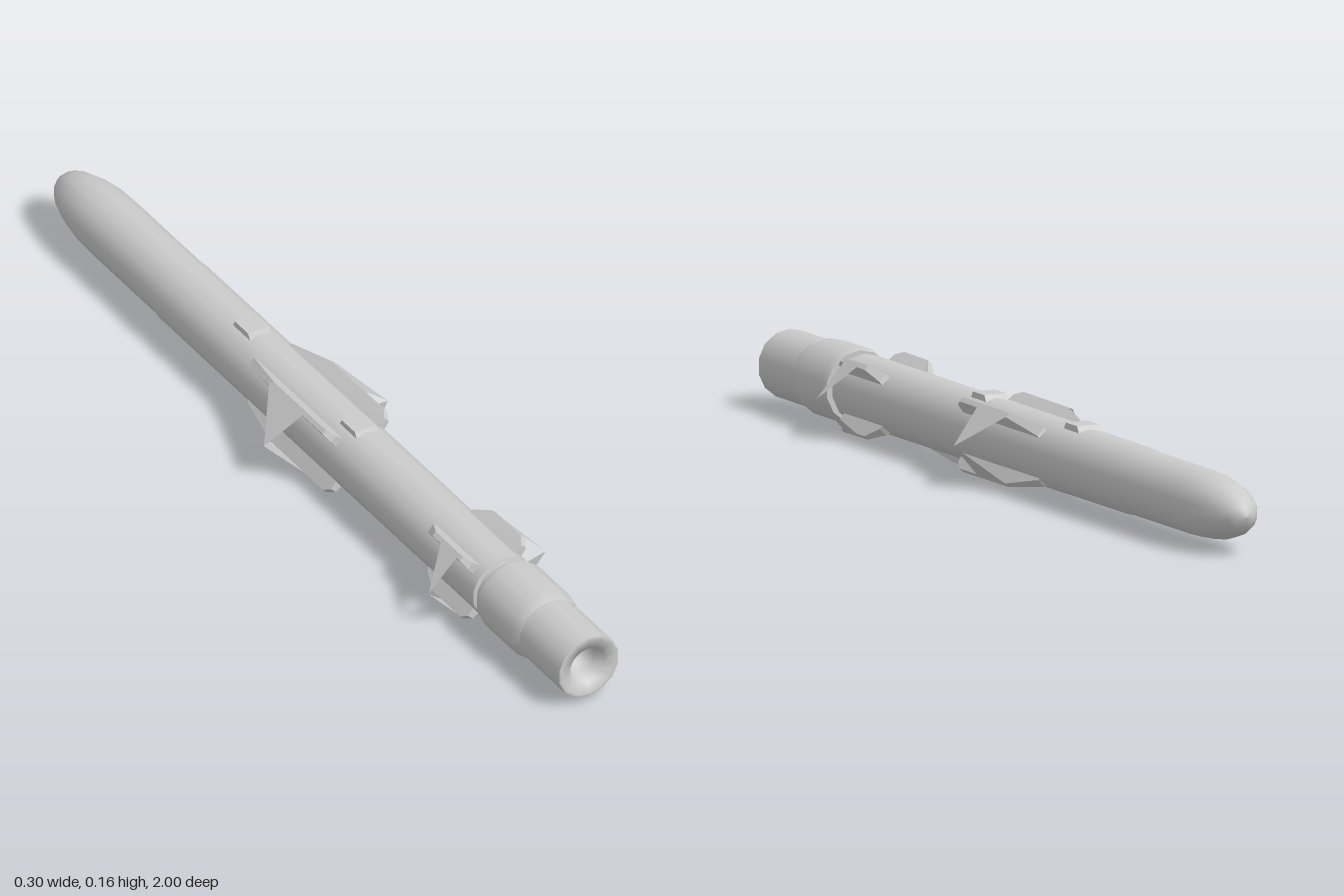
import * as THREE from 'three';

const CY = 0.084; // height of the long axis
const SIDES = 14;

export function createModel() {
  const model = new THREE.Group();
  const grey = new THREE.MeshStandardMaterial({ color: 0xcccccc, side: THREE.DoubleSide });

  const add = (name, geometry, parent = model) => {
    const mesh = new THREE.Mesh(geometry, grey);
    mesh.name = name;
    parent.add(mesh);
    return mesh;
  };

  // Turned part along z; profile is [radius, z] from nose to tail
  const turned = (name, profile) => {
    const g = new THREE.LatheGeometry(profile.map(p => new THREE.Vector2(...p)), SIDES);
    g.rotateX(Math.PI / 2);
    add(name, g).position.y = CY;
  };

  turned('body', [[0, -1], [0.018, -0.995], [0.035, -0.978], [0.049, -0.95], [0.06, -0.91],
    [0.067, -0.86], [0.069, -0.8], [0.069, -0.56], [0.071, -0.54], [0.072, 0], [0.072, 0.672]]);
  turned('bodyEnd', [[0.072, 0.672], [0.064, 0.674]]);
  turned('neck', [[0.064, 0.665], [0.064, 0.7]]);
  turned('collarFront', [[0.064, 0.692], [0.076, 0.692]]);
  turned('collar', [[0.076, 0.692], [0.08, 0.705], [0.08, 0.825], [0.072, 0.848]]);
  turned('tailTube', [[0.072, 0.84], [0.072, 0.998]]);
  turned('nozzle', [[0.072, 0.998], [0.066, 1], [0.042, 0.993], [0.034, 0.965], [0.026, 0.93], [0, 0.92]]);

  // Radial strake: outline of [radius, z], thinner towards its outer edge
  const strake = (outline, thick, angle) => {
    const shape = new THREE.Shape(outline.map(p => new THREE.Vector2(...p)));
    const g = new THREE.ExtrudeGeometry(shape, { depth: thick, bevelEnabled: false });
    g.translate(0, 0, -thick / 2).rotateX(Math.PI / 2);
    const p = g.attributes.position;
    for (let i = 0; i < p.count; i++) {
      const t = THREE.MathUtils.clamp((p.getX(i) - 0.064) / 0.04, 0, 1);
      p.setY(i, p.getY(i) * (1 - 0.6 * t));
    }
    g.computeVertexNormals();
    return g.rotateZ(angle);
  };

  // Folded triangular fin hinged on the strake's outer edge
  const fin = (sx, sy, z0, z1, tipX, tipZ) => {
    const g = new THREE.BufferGeometry();
    g.setAttribute('position', new THREE.Float32BufferAttribute([
      sx * 0.072, sy * 0.074, z0, sx * tipX, 0, tipZ, sx * 0.072, sy * 0.074, z1], 3));
    g.computeVertexNormals();
    return g;
  };

  const midOutline = [[0.06, -0.21], [0.075, -0.2], [0.102, -0.09], [0.103, 0.11], [0.09, 0.13], [0.06, 0.13]];
  const rearOutline = [[0.06, 0.475], [0.078, 0.485], [0.102, 0.525], [0.103, 0.63], [0.09, 0.65], [0.06, 0.65]];

  for (const sx of [1, -1]) for (const sy of [1, -1]) {
    const label = (sy > 0 ? 'Upper' : 'Lower') + (sx > 0 ? 'Left' : 'Right');
    const angle = Math.atan2(sy, sx);
    const set = new THREE.Group();
    set.name = 'fins' + label;
    set.position.y = CY;
    add('midStrake', strake(midOutline, 0.026, angle), set);
    add('rearStrake', strake(rearOutline, 0.026, angle), set);
    add('midFin', fin(sx, sy, -0.1, 0.035, 0.148, 0), set);
    add('rearFin', fin(sx, sy, 0.553, 0.617, 0.14, 0.612), set);
    model.add(set);
  }

  // Block with a side profile of [z, y], extruded across x
  const block = (name, profile, width) => {
    const shape = new THREE.Shape(profile.map(p => new THREE.Vector2(...p)));
    const g = new THREE.ExtrudeGeometry(shape, { depth: width, bevelEnabled: false });
    g.translate(0, 0, -width / 2).rotateY(-Math.PI / 2);
    add(name, g);
  };

  // Two suspension lugs on top and a wedge fairing underneath
  for (const [z, name] of [[-0.28, 'frontLug'], [0.125, 'rearLug']]) {
    block(name, [[z - 0.035, 0.145], [z + 0.035, 0.145], [z + 0.025, 0.163], [z - 0.025, 0.163]], 0.05);
  }
  block('bellyFairing', [[0.09, 0.03], [0.09, 0.002], [0.11, 0], [0.24, 0.003], [0.34, 0.015], [0.34, 0.03]], 0.046);

  return model;
}
